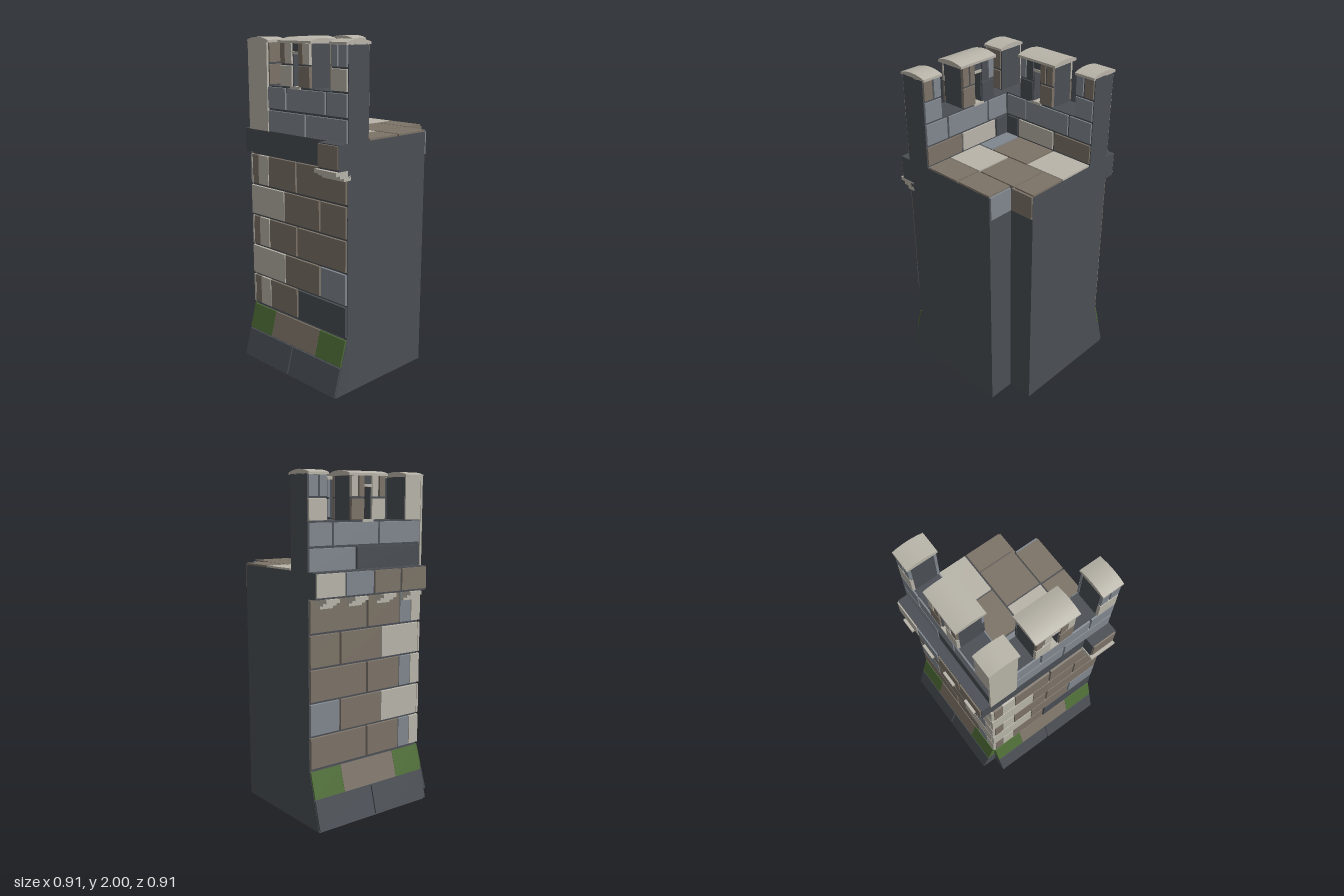
import * as THREE from 'three';

const mat = (name, color) => {
  const m = new THREE.MeshStandardMaterial({ color });
  m.name = name;
  return m;
};

export function createModel() {
  const model = new THREE.Group();
  model.name = 'cornerTower';
  const beige = mat('pale limestone', 0xb8b4a9);
  const brown = mat('brown stone', 0x7c7367);
  const blue = mat('blue grey stone', 0x80878e);
  const dark = mat('dark mortar', 0x4a4e54);
  const green = mat('mossy stone', 0x4f6d37);
  const EDGE = 0.456;

  const put = (parent, name, geo, m) => {
    const mesh = new THREE.Mesh(geo, m);
    mesh.name = name;
    parent.add(mesh);
    return mesh;
  };
  // move every vertex of a geometry by a rule
  const warp = (geo, rule) => {
    const p = geo.attributes.position, v = new THREE.Vector3();
    for (let i = 0; i < p.count; i++) {
      rule(v.fromBufferAttribute(p, i));
      p.setXYZ(i, v.x, v.y, v.z);
    }
    geo.computeVertexNormals();
    return geo;
  };
  const box = (parent, name, m, x0, x1, y0, y1, z0, z1) =>
    put(parent, name, new THREE.BoxGeometry(x1 - x0, y1 - y0, z1 - z0), m)
      .position.set((x0 + x1) / 2, (y0 + y1) / 2, (z0 + z1) / 2);

  // main body: square plan with a notch in the back corner
  const plan = new THREE.Shape([[-0.355, -0.355], [EDGE, -0.355], [EDGE, 0.295], [0.29, 0.295],
    [0.29, EDGE], [-0.355, EDGE]].map(([x, y]) => new THREE.Vector2(x, y)));
  const bodyGeo = new THREE.ExtrudeGeometry(plan, { depth: 1.455, bevelEnabled: false });
  bodyGeo.rotateX(-Math.PI / 2);
  put(model, 'body', bodyGeo, dark);

  // bricks lining the top of the notch
  box(model, 'notchBrick', brown, 0.28, 0.3, 1.32, 1.457, -0.454, -0.307);
  box(model, 'notchBrick', blue, 0.302, 0.454, 1.32, 1.457, -0.306, -0.29);

  // roof deck slabs
  const slabs = [
    [-0.185, 0.045, -0.455, -0.195, beige], [-0.185, 0.045, -0.185, 0.08, brown],
    [-0.185, 0.045, 0.09, 0.185, blue], [0.055, 0.287, -0.455, -0.322, brown],
    [0.055, 0.287, -0.315, -0.06, brown], [0.055, 0.287, -0.05, 0.185, beige],
    [0.296, 0.455, -0.293, -0.058, brown], [0.296, 0.455, -0.046, 0.185, brown]];
  for (const [x0, x1, z0, z1, m] of slabs) box(model, 'deckSlab', m, x0, x1, 1.44, 1.466, z0, z1);

  // One decorated wall. u runs along the wall from the corner, d points outwards.
  const buildWall = (isFront) => {
    const g = new THREE.Group();
    g.name = isFront ? 'frontWall' : 'rightWall';
    if (!isFront) g.rotation.y = -Math.PI / 2;
    model.add(g);
    const span = (u0, u1) => (isFront ? [u0, u1] : [-u1, -u0]);
    const block = (name, m, u0, u1, y0, y1, d0, d1) =>
      box(g, name, m, ...span(u0, u1), y0, y1, d0, d1);
    // bevelled brick whose visible face is at depth d1
    const brick = (m, u0, u1, y0, y1, d0 = 0.35, d1 = 0.367) => {
      const [x0, x1] = span(u0, u1), w = x1 - x0, h = y1 - y0, t = Math.abs(d1 - d0);
      const out = Math.sign(d1 - d0);
      const geo = warp(new THREE.BoxGeometry(w, h, t), (v) => {
        if (v.z * out > 0) {
          v.x -= Math.sign(v.x) * 0.003;
          v.y -= Math.sign(v.y) * 0.003;
        }
      });
      put(g, 'brick', geo, m).position.set((x0 + x1) / 2, (y0 + y1) / 2, (d0 + d1) / 2);
    };
    // sloping stone of the flared base
    const slope = (name, m, u0, u1, y0, y1, inset = 0) => {
      const [x0, x1] = span(u0, u1), yc = (y0 + y1) / 2;
      const geo = warp(new THREE.BoxGeometry(x1 - x0, y1 - y0, 1), (v) => {
        v.y += yc;
        v.z = v.z > 0 ? 0.46 - 0.275 * v.y - inset : 0.34;
      });
      put(g, name, geo, m).position.x = (x0 + x1) / 2;
    };

    // flared base
    slope('baseCore', dark, -0.35, EDGE, 0, 0.333, 0.01);
    slope('baseStone', dark, -0.356, 0.045, 0.01, 0.172);
    slope('baseStone', dark, 0.053, 0.454, 0.01, 0.172);
    slope('mossStone', green, -0.356, -0.15, 0.18, 0.33);
    slope('baseStone', brown, -0.149, 0.244, 0.18, 0.33);
    slope('mossStone', green, 0.245, 0.454, 0.18, 0.33);

    // five brick courses
    for (let r = 0; r < 5; r++) {
      const y0 = 0.345 + r * 0.194, y1 = y0 + 0.184;
      if (r % 2) {
        brick(beige, isFront ? -0.367 : -0.35, -0.06, y0, y1);
        brick(brown, -0.06, 0.242, y0, y1);
        brick(r === 1 ? blue : brown, 0.25, 0.453, y0, y1);
      } else {
        brick(isFront ? brown : beige, isFront ? -0.35 : -0.367, -0.29, y0, y1);
        brick(isFront ? beige : blue, -0.29, -0.2, y0, y1);
        brick(brown, -0.2, 0.045, y0, y1);
        brick(isFront && r === 0 ? dark : brown, 0.053, 0.453, y0, y1);
      }
    }

    // overhang with stepped corbels
    const corbels = isFront ? [[0.287, EDGE]] : [[-0.3, -0.21], [-0.1, -0.005], [0.107, 0.2], [0.31, 0.4]];
    for (const [a, b] of corbels) {
      [[1.29, 1.312, 0.445], [1.273, 1.29, 0.415], [1.255, 1.273, 0.385]].forEach(
        ([y0, y1, d]) => block('corbel', beige, a, b, y0, y1, 0.33, d));
    }
    block('overhang', dark, isFront ? 0.292 : -0.355, EDGE, 1.312, 1.456, 0.34, 0.422);
    if (isFront) brick(brown, 0.296, 0.454, 1.32, 1.453, 0.41, 0.43);
    else [beige, blue, brown, brown].forEach((m, i) => {
      const u = 0.454 - i * 0.203;
      brick(m, u - 0.196, u, 1.32, 1.453, 0.41, 0.43);
    });

    // parapet core and its brick faces
    const start = isFront ? -0.195 : -0.355;
    block('parapetCore', dark, start, EDGE, 1.44, 1.725, 0.195, 0.352);
    const low = isFront ? blue : dark;
    brick(low, start, 0.125, 1.455, 1.583, 0.34, 0.362);
    brick(blue, 0.132, 0.453, 1.455, 1.583, 0.34, 0.362);
    brick(blue, start, -0.04, 1.592, 1.72, 0.34, 0.362);
    brick(blue, -0.032, 0.288, 1.592, 1.72, 0.34, 0.362);
    brick(blue, 0.296, 0.453, 1.592, 1.72, 0.34, 0.362);
    const inner = [[dark, -0.18, -0.095, 0], [beige, -0.088, 0.183, 0], [brown, 0.19, 0.453, 0],
      [blue, -0.185, -0.032, 1], [blue, -0.025, 0.288, 1], [blue, 0.296, 0.453, 1]];
    for (const [m, a, b, row] of inner) {
      brick(m, a, b, row ? 1.592 : 1.468, row ? 1.72 : 1.583, 0.21, 0.187);
    }

    // arched coping stone, curved across the wall thickness
    const cap = (u0, u1) => {
      const [x0, x1] = span(u0, u1), t = 0.187;
      const geo = warp(new THREE.BoxGeometry(x1 - x0, 0.03, t, 1, 1, 6), (v) => {
        if (v.y > 0) v.y -= 0.016 * (2 * v.z / t) ** 2;
      });
      put(g, 'mertonCap'.replace('ton', 'lon'), geo, beige).position.set((x0 + x1) / 2, 1.985, 0.275);
    };

    // middle merlon with an arrow slit
    block('merlonCore', dark, -0.078, 0.024, 1.72, 1.975, 0.195, 0.352);
    block('merlonCore', dark, 0.068, 0.165, 1.72, 1.975, 0.195, 0.352);
    block('slitTop', dark, 0.024, 0.068, 1.925, 1.975, 0.195, 0.352);
    block('slitLintel', beige, 0.02, 0.072, 1.91, 1.926, 0.19, 0.36);
    block('slitSill', beige, 0.005, 0.083, 1.718, 1.732, 0.187, 0.362);
    cap(-0.092, 0.185);

    // end merlon
    block('merlonCore', dark, 0.332, EDGE, 1.72, 1.975, 0.195, 0.352);
    cap(0.325, EDGE);

    // merlon bricks: outer colour, inner colour, u range, upper row flag
    const bricks = [
      [beige, dark, -0.08, 0.02, 0], [brown, brown, 0.072, 0.167, 0],
      [brown, blue, -0.08, -0.035, 1], [beige, dark, -0.029, 0.02, 1],
      [brown, brown, 0.072, 0.112, 1], [beige, brown, 0.118, 0.167, 1],
      [beige, blue, 0.33, 0.453, 0], [blue, blue, 0.33, 0.383, 1], [blue, brown, 0.389, 0.453, 1]];
    for (const [outer, inside, a, b, row] of bricks) {
      const y0 = row ? 1.855 : 1.728, y1 = row ? 1.972 : 1.848;
      brick(outer, a, b, y0, y1, 0.345, 0.362);
      brick(inside, a, b, y0, y1, 0.205, 0.188);
    }

    // corner post, capped in line with the right wall
    if (!isFront) {
      block('cornerPost', dark, -0.357, -0.235, 1.45, 1.975, 0.195, 0.355);
      block('cornerPostFace', beige, -0.357, -0.235, 1.725, 1.975, 0.355, 0.364);
      brick(brown, -0.352, -0.24, 1.728, 1.848, 0.205, 0.188);
      brick(brown, -0.352, -0.24, 1.855, 1.972, 0.205, 0.188);
      cap(-0.367, -0.23);
    } else {
      block('cornerPostFace', beige, -0.367, -0.194, 1.456, 1.975, 0.352, 0.366);
    }
  };
  buildWall(true);
  buildWall(false);
  return model;
}
